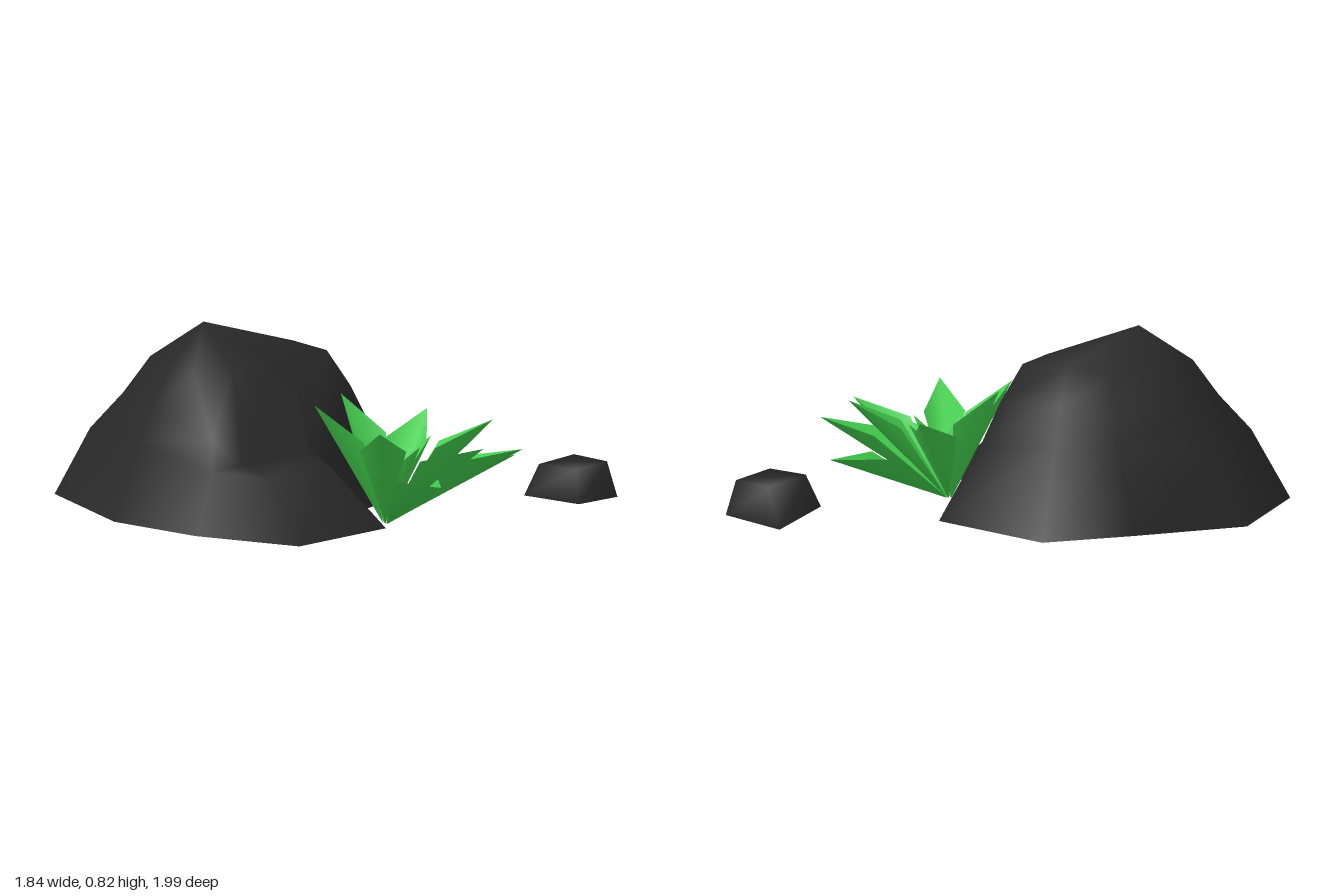
import * as THREE from 'three';

const rockMaterial = new THREE.MeshStandardMaterial({ color: 0x282828, side: THREE.DoubleSide });
const leafMaterial = new THREE.MeshStandardMaterial({ color: 0x42d04d, side: THREE.DoubleSide });

function mesh(name, points, index, material) {
  const g = new THREE.BufferGeometry();
  g.setAttribute('position', new THREE.Float32BufferAttribute(points.flat(), 3));
  g.setIndex(index);
  g.computeVertexNormals();
  const m = new THREE.Mesh(g, material);
  m.name = name;
  return m;
}

// Hollow stone skinned over rings (bottom to top), closed by a peak and open underneath
function stone(name, rings, peak) {
  const n = rings[0].length, index = [];
  const top = n * rings.length;
  for (let i = 0; i < n; i++) {
    const j = (i + 1) % n;
    for (let r = 0; r < rings.length - 1; r++) {
      const a = r * n + i, b = r * n + j;
      index.push(a, a + n, b, b, a + n, b + n);
    }
    index.push(top, top - n + j, top - n + i);
  }
  return mesh(name, [...rings.flat(), peak], index, rockMaterial);
}

// Pointed leaf folded along a straight spine from root to tip, both edges raised like a trough
function leaf(name, tip, width, rise) {
  const end = new THREE.Vector3(...tip);
  const out = new THREE.Vector3(tip[0] + 0.05, 0, tip[2] - 0.42).normalize();
  const side = new THREE.Vector3(-out.z, 0, out.x);
  const root = new THREE.Vector3(-0.05, 0.015, 0.42).addScaledVector(out, 0.01);
  const normal = side.clone().cross(end.clone().sub(root)).normalize();
  const middle = root.clone().lerp(end, 0.62).addScaledVector(normal, rise);
  const edge = (s) => middle.clone().addScaledVector(side, s * width / 2).toArray();
  const points = [root.toArray(), edge(-1), end.toArray(), edge(1)];
  return mesh(name, points, [0, 3, 2, 0, 2, 1], leafMaterial);
}

export function createModel() {
  const model = new THREE.Group();
  model.name = 'rockWithPlant';

  // Large rock: ground outline, lower ring, shelf ring, shoulder ring
  const ground = [[-0.69, -0.965], [-0.15, -1], [0.22, -0.66], [0.505, -0.38], [0.43, 0.17],
    [-0.21, 0.33], [-0.26, 0.6], [-0.75, 0.57], [-0.89, 0.13], [-0.92, -0.32]]
    .map(([x, z]) => [x, 0.053, z]);
  const lower = [[-0.62, 0.36, -0.8], [-0.12, 0.36, -0.83], [0.22, 0.41, -0.57], [0.27, 0.4, -0.3],
    [0.26, 0.37, 0.06], [-0.24, 0.28, 0.23], [-0.3, 0.28, 0.33], [-0.69, 0.29, 0.35],
    [-0.76, 0.29, 0.09], [-0.77, 0.37, -0.32]];
  const shelf = [[-0.53, 0.52, -0.68], [-0.16, 0.52, -0.69], [0.14, 0.55, -0.51], [0.21, 0.56, -0.29],
    [0.19, 0.54, 0.01], [-0.24, 0.32, 0.18], [-0.28, 0.31, 0.19], [-0.66, 0.315, 0.17],
    [-0.69, 0.41, 0.03], [-0.7, 0.52, -0.31]];
  const shoulder = [[-0.45, 0.68, -0.59], [-0.19, 0.69, -0.61], [0.06, 0.68, -0.46], [0.14, 0.72, -0.29],
    [0.1, 0.7, -0.05], [-0.2, 0.69, 0], [-0.3, 0.69, 0], [-0.51, 0.675, -0.03],
    [-0.63, 0.665, -0.14], [-0.6, 0.68, -0.3]];
  model.add(stone('largeRock', [ground, lower, shelf, shoulder], [-0.32, 0.835, -0.39]));

  // Small stone beside it
  model.add(stone('smallStone', [
    [[0.57, 0.08, 0.685], [0.92, 0.065, 0.645], [0.86, 0.07, 0.975], [0.57, 0.08, 0.975]],
    [[0.6, 0.222, 0.74], [0.875, 0.228, 0.73], [0.84, 0.225, 0.93], [0.59, 0.222, 0.94]],
  ], [0.73, 0.225, 0.83]));

  // Plant: large outer leaves, then small inner ones
  const plant = new THREE.Group();
  plant.name = 'plant';
  const outer = [[-0.43, 0.475, 0.71], [-0.35, 0.28, 0.96], [-0.12, 0.41, 0.99], [0.17, 0.37, 0.97],
    [0.2, 0.47, 0.79], [0.49, 0.27, 0.69], [0.37, 0.45, 0.3], [-0.02, 0.54, 0.14], [-0.3, 0.53, 0.24]];
  const inner = [[0.14, 0.38, 0.51], [-0.08, 0.37, 0.63], [-0.2, 0.36, 0.46], [0.0, 0.32, 0.3]];
  outer.forEach((tip, i) => plant.add(leaf('outerLeaf' + (i + 1), tip, 0.19, 0.09)));
  inner.forEach((tip, i) => plant.add(leaf('innerLeaf' + (i + 1), tip, 0.11, 0.05)));
  model.add(plant);

  return model;
}
